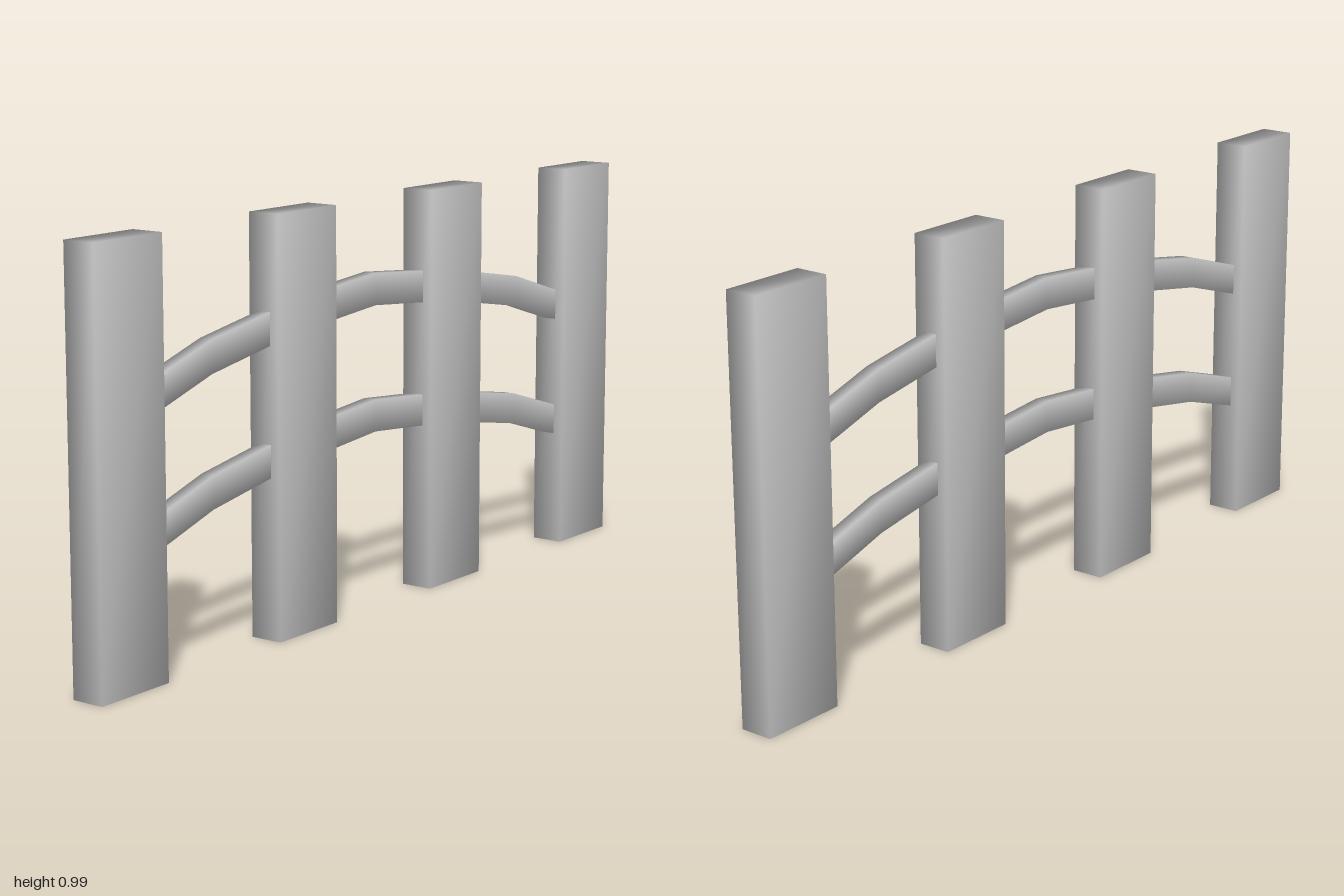
import * as THREE from 'three';
import { mergeVertices } from 'three/addons/utils/BufferGeometryUtils.js';

const material = new THREE.MeshStandardMaterial({ color: 0xcccccc });

// Weld the corners so the shading runs softly round the edges
function soften(geometry) {
  geometry.deleteAttribute('normal');
  geometry.deleteAttribute('uv');
  const welded = mergeVertices(geometry);
  welded.computeVertexNormals();
  return welded;
}

// Flat upright board standing on the ground
function makePost() {
  const height = 0.985;
  return soften(new THREE.BoxGeometry(0.082, height, 0.214).translate(0, height / 2, 0));
}

// Long thin board, bowed upwards in the middle
function makeRail() {
  const step = 0.3;
  const drop = [0, 0.026, 0.077, 0.17];
  const geometry = new THREE.BoxGeometry(0.034, 0.077, step * 6, 1, 1, 6);
  const pos = geometry.attributes.position;
  for (let i = 0; i < pos.count; i++) {
    const station = Math.round(Math.abs(pos.getZ(i)) / step);
    pos.setY(i, pos.getY(i) - drop[station]);
  }
  return soften(geometry);
}

export function createModel() {
  const group = new THREE.Group();
  group.name = 'fence';

  // Four posts, evenly spaced
  const postGeometry = makePost();
  [0.893, 0.291, -0.299, -0.893].forEach((z, i) => {
    const post = new THREE.Mesh(postGeometry, material);
    post.name = `post${i + 1}`;
    post.position.z = z;
    group.add(post);
  });

  // Two arched rails running through the posts
  const railGeometry = makeRail();
  for (const [name, y] of [['upperRail', 0.767], ['lowerRail', 0.463]]) {
    const rail = new THREE.Mesh(railGeometry, material);
    rail.name = name;
    rail.position.y = y;
    group.add(rail);
  }
  return group;
}
